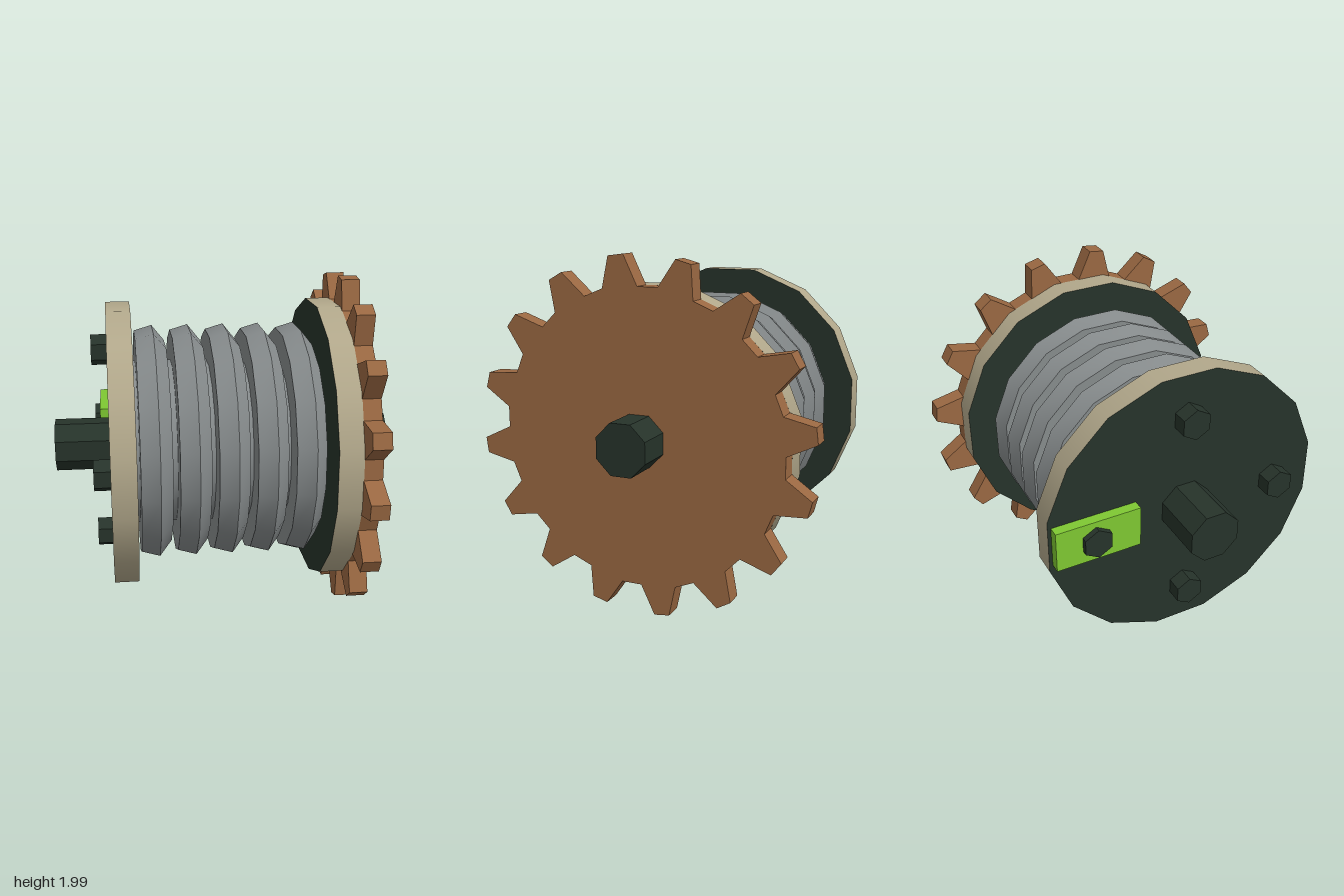
import * as THREE from 'three';
import { toCreasedNormals } from 'three/addons/utils/BufferGeometryUtils.js';

const material = (name, color, flatShading = false) => {
  const m = new THREE.MeshStandardMaterial({ color, flatShading });
  m.name = name;
  return m;
};

export function createModel() {
  const iron = material('dark iron', 0x26332a);
  const steel = material('grey steel', 0x868b8c);
  const cream = material('cream rim', 0xb2a88b);
  const copper = material('copper', 0x9a6842);
  const green = material('green paint', 0x7ec832);

  const group = new THREE.Group();
  const axle = new THREE.Group(); // everything turns about the x axis at y = 1
  axle.name = 'axleAssembly';
  axle.position.y = 1;
  group.add(axle);

  const add = (name, geometry, mat) => {
    const mesh = new THREE.Mesh(geometry, mat);
    mesh.name = name;
    axle.add(mesh);
    return mesh;
  };

  // Prism lying along x, from x0 to x1
  const prism = (r, x0, x1, sides, start) => {
    const g = new THREE.CylinderGeometry(r, r, x1 - x0, sides, 1, false, start);
    g.rotateZ(-Math.PI / 2);
    g.translate((x0 + x1) / 2, 0, 0);
    return g;
  };
  const SIDES = 16;
  const flatTop = Math.PI / SIDES;
  const corner = 1 / Math.cos(flatTop); // flat radius to corner radius

  // Shaft
  add('shaft', toCreasedNormals(prism(0.155, -1, 1, 8, Math.PI / 8), 0.4), iron);

  // Ribbed drum, one profile with five ridges
  const profile = [[0.485, -0.54]];
  for (let i = 0; i < 5; i++) {
    const x = -0.515 + i * 0.215;
    profile.push([0.485, x], [0.66, x], [0.69, x + 0.107], [0.6, x + 0.18], [0.485, x + 0.18]);
  }
  profile.push([0.485, 0.54]);
  const drum = new THREE.LatheGeometry(
    profile.map(([r, x]) => new THREE.Vector2(r * corner, x)), SIDES, flatTop);
  drum.rotateZ(-Math.PI / 2);
  add('ribbedDrum', toCreasedNormals(drum, 0.45), steel);

  // End flanges with cream rims and dark faces
  add('rightFlange', prism(0.83 * corner, -0.677, -0.537, SIDES, flatTop), [cream, iron, iron]);
  add('leftFlange', prism(0.83 * corner, 0.537, 0.677, SIDES, flatTop), [cream, iron, iron]);

  // Sixteen-tooth gear wheel
  const outline = [];
  for (let i = 0; i < 16; i++) {
    for (const [deg, r] of [[-8.1, 0.838], [0, 0.83], [4.6, 1], [9.8, 1]]) {
      const a = Math.PI / 2 + THREE.MathUtils.degToRad(deg + i * 22.5);
      outline.push(new THREE.Vector2(Math.cos(a) * r, Math.sin(a) * r));
    }
  }
  const gear = new THREE.ExtrudeGeometry(new THREE.Shape(outline), { depth: 0.107, bevelEnabled: false });
  gear.rotateY(Math.PI / 2);
  gear.translate(0.675, 0, 0);
  add('gearWheel', gear, copper);

  // Four hexagonal bolts on the outer right flange
  for (let i = 0; i < 4; i++) {
    const a = i * Math.PI / 2;
    const bolt = add('bolt', toCreasedNormals(prism(0.091, -0.77, -0.67, 6, Math.PI / 6), 0.4), iron);
    bolt.position.set(0, Math.sin(a) * 0.577, -Math.cos(a) * 0.577);
  }

  // Green plate held by the rear bolt
  const plate = add('clampPlate', new THREE.BoxGeometry(0.065, 0.25, 0.5), green);
  plate.position.set(-0.704, 0, -0.56);

  return group;
}
